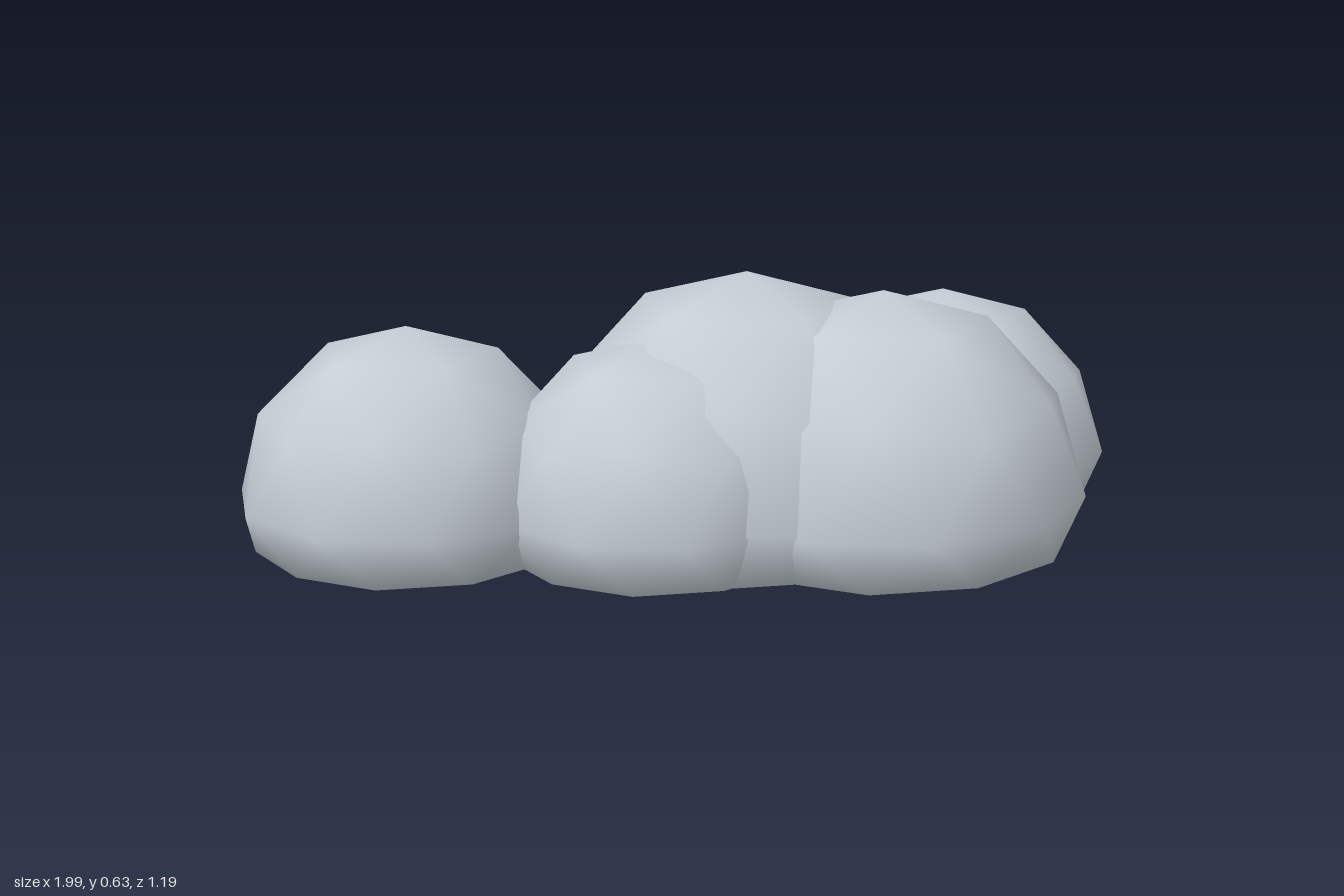
import * as THREE from 'three';
import { mergeVertices } from 'three/addons/utils/BufferGeometryUtils.js';

const BASE = 0.05;     // height below which the puffs are squashed
const SQUASH = 0.15;   // how much of the underside's depth remains

// Low-poly ball standing on one corner, with a nearly flat underside and smooth normals
function puffGeometry(x, y, z, r) {
  let geometry = new THREE.IcosahedronGeometry(r, 1);
  geometry.deleteAttribute('normal');
  geometry.deleteAttribute('uv');
  geometry = mergeVertices(geometry, 1e-4);
  geometry.rotateZ(-Math.atan(2 / (1 + Math.sqrt(5))));
  geometry.translate(x, y, z);
  const p = geometry.attributes.position;
  for (let i = 0; i < p.count; i++) {
    const h = p.getY(i) - BASE;
    if (h < 0) p.setY(i, BASE + h * SQUASH);
  }
  geometry.computeVertexNormals();
  return geometry;
}

export function createModel() {
  const group = new THREE.Group();
  group.name = 'cloud';

  const cloudGrey = new THREE.MeshStandardMaterial({ color: 0xc4ccd4 });
  cloudGrey.name = 'cloudGrey';

  // name, centre x, y, z, radius
  const puffs = [
    ['rightPuff', -0.625, 0.15, -0.01, 0.38],
    ['smallFrontPuff', -0.11, 0.15, 0.15, 0.365],
    ['middlePuff', 0.12, 0.16, 0.03, 0.47],
    ['frontPuff', 0.4, 0.15, 0.145, 0.45],
    ['backLeftPuff', 0.64, 0.14, -0.22, 0.38],
  ];
  for (const [name, x, y, z, r] of puffs) {
    const puff = new THREE.Mesh(puffGeometry(x, y, z, r), cloudGrey);
    puff.name = name;
    group.add(puff);
  }
  return group;
}
